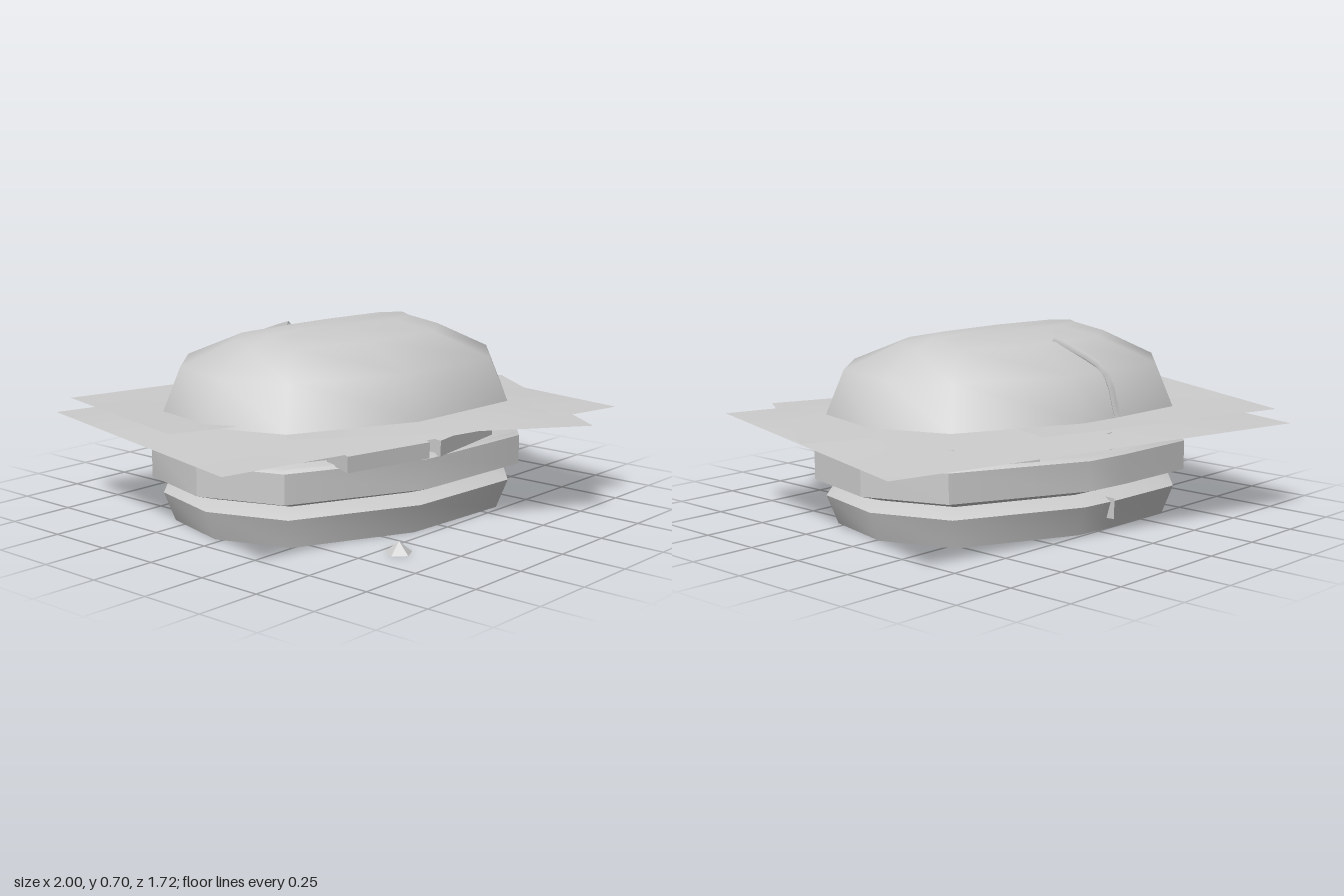
import * as THREE from 'three';
import { toCreasedNormals } from 'three/addons/utils/BufferGeometryUtils.js';

const material = new THREE.MeshStandardMaterial({ color: 0xcccccc, side: THREE.DoubleSide });

// Irregular rounded outline shared by the buns and fillings, as [x, z]
const outline = [
  [-0.71, -0.03], [-0.63, -0.33], [-0.40, -0.53], [-0.07, -0.525], [0.10, -0.51], [0.56, -0.30],
  [0.675, -0.01], [0.60, 0.30], [0.36, 0.50], [-0.14, 0.475], [-0.60, 0.26],
];
const CX = -0.02, CZ = -0.02;

// Stacks scaled copies of the outline; each ring is [y, scaleX, scaleZ]
function loft(rings, capBottom, capTop, crease) {
  const pos = [], index = [], n = outline.length;
  for (const [y, sx, sz] of rings) {
    for (const [x, z] of outline) pos.push(CX + (x - CX) * sx, y, CZ + (z - CZ) * sz);
  }
  for (let i = 0; i < rings.length - 1; i++) {
    for (let j = 0; j < n; j++) {
      const a = i * n + j, b = i * n + (j + 1) % n;
      index.push(a, a + n, b + n, a, b + n, b);
    }
  }
  const cap = (row, up) => {
    const c = pos.length / 3;
    pos.push(CX, rings[row][0], CZ);
    for (let j = 0; j < n; j++) {
      const a = row * n + j, b = row * n + (j + 1) % n;
      if (up) index.push(c, b, a); else index.push(c, a, b);
    }
  };
  if (capBottom) cap(0, false);
  if (capTop) cap(rings.length - 1, true);
  const geometry = new THREE.BufferGeometry();
  geometry.setAttribute('position', new THREE.Float32BufferAttribute(pos, 3));
  geometry.setIndex(index);
  geometry.computeVertexNormals();
  return toCreasedNormals(geometry, crease);
}

// Thin four-cornered slice that bulges up in the middle to the given height
function slice(corners, middle) {
  const [a, b, c, d] = corners.map((p) => new THREE.Vector3(...p));
  const mean = (a.y + b.y + c.y + d.y) / 4;
  const geometry = new THREE.PlaneGeometry(1, 1, 8, 8);
  const pos = geometry.attributes.position;
  const p = new THREE.Vector3(), q = new THREE.Vector3();
  for (let i = 0; i < pos.count; i++) {
    const u = pos.getX(i) + 0.5, v = pos.getY(i) + 0.5;
    p.lerpVectors(a, b, u);
    q.lerpVectors(d, c, u);
    p.lerp(q, v);
    p.y += (middle - mean) * 16 * u * (1 - u) * v * (1 - v);
    pos.setXYZ(i, p.x, p.y, p.z);
  }
  geometry.computeVertexNormals();
  return geometry;
}

export function createModel() {
  const model = new THREE.Group();
  const add = (name, geometry) => {
    const mesh = new THREE.Mesh(geometry, material);
    mesh.name = name;
    model.add(mesh);
    return mesh;
  };

  // Buns and fillings
  add('bottomBun', loft([[0, 0.94, 0.95], [0.11, 1, 1.02], [0.145, 0.88, 0.88]], false, true, 1.2));
  add('patty', loft([[0.145, 0.92, 0.9], [0.175, 1.06, 1.08], [0.285, 1.06, 1.08], [0.297, 1.03, 1.05]], true, true, 0.6));
  add('fillingSlice', loft([[0.305, 0.97, 0.95], [0.365, 0.97, 0.95]], true, true, 0.6));
  add('topBun', loft([[0.415, 1, 1], [0.578, 0.905, 0.89], [0.67, 0.66, 0.5], [0.702, 0.555, 0.2]], true, true, 1.2));

  // Cheese slices
  add('largeCheese', slice([[-1, 0.36, 0.35], [0.70, 0.375, 0.765], [1, 0.345, -0.45], [-0.70, 0.35, -0.86]], 0.402));
  add('upperCheese', slice([[-0.92, 0.435, 0.02], [0.11, 0.41, 0.28], [0.37, 0.41, -0.56], [-0.66, 0.405, -0.82]], 0.412));
  add('frontCheese', slice([[-0.6, 0.40, 0.28], [0.40, 0.365, 0.855], [0.91, 0.38, 0.08], [-0.1, 0.40, -0.49]], 0.408));

  // Pickle pieces poking out between patty and cheese: x, y, z, turn
  const pickles = [[-0.30, 0.325, 0.42, -0.3], [0.08, 0.33, 0.45, 0.06], [-0.16, 0.325, -0.46, 0.1], [0.42, 0.33, -0.34, -0.45]];
  for (const [x, y, z, turn] of pickles) {
    const pickle = add('pickle', new THREE.BoxGeometry(0.34, 0.06, 0.14));
    pickle.position.set(x, y, z);
    pickle.rotation.set(0.08, turn, 0.05);
  }

  // Split down the back of the top bun
  const split = new THREE.CatmullRomCurve3([
    [-0.06, 0.42, -0.535], [-0.06, 0.575, -0.475], [-0.045, 0.655, -0.31], [-0.04, 0.675, -0.25],
  ].map((p) => new THREE.Vector3(...p)));
  add('bunSplit', new THREE.TubeGeometry(split, 8, 0.014, 4));

  // Upright strip crossing the hollow of the bottom bun
  const path = [[-0.13, 0.43], [-0.04, 0.16], [-0.12, -0.1], [-0.05, -0.36], [-0.03, -0.55]];
  const strip = new THREE.PlaneGeometry(1, 1, path.length - 1, 1);
  const pos = strip.attributes.position;
  for (let i = 0; i < pos.count; i++) {
    const k = i % path.length;
    const bottom = 0.012 * k;
    pos.setXYZ(i, path[k][0], i < path.length ? 0.125 : bottom, path[k][1]);
  }
  strip.computeVertexNormals();
  add('bunStrip', strip);

  // Crumbs: x, z, radius
  for (const [x, z, r] of [[-0.36, 0.565, 0.05], [-0.19, -0.03, 0.06], [-0.38, 0.03, 0.04]]) {
    const crumb = add('crumb', new THREE.ConeGeometry(r, r * 0.85, 5).toNonIndexed());
    crumb.geometry.computeVertexNormals();
    crumb.position.set(x, r * 0.425, z);
    crumb.rotation.y = x * 4;
  }
  return model;
}
